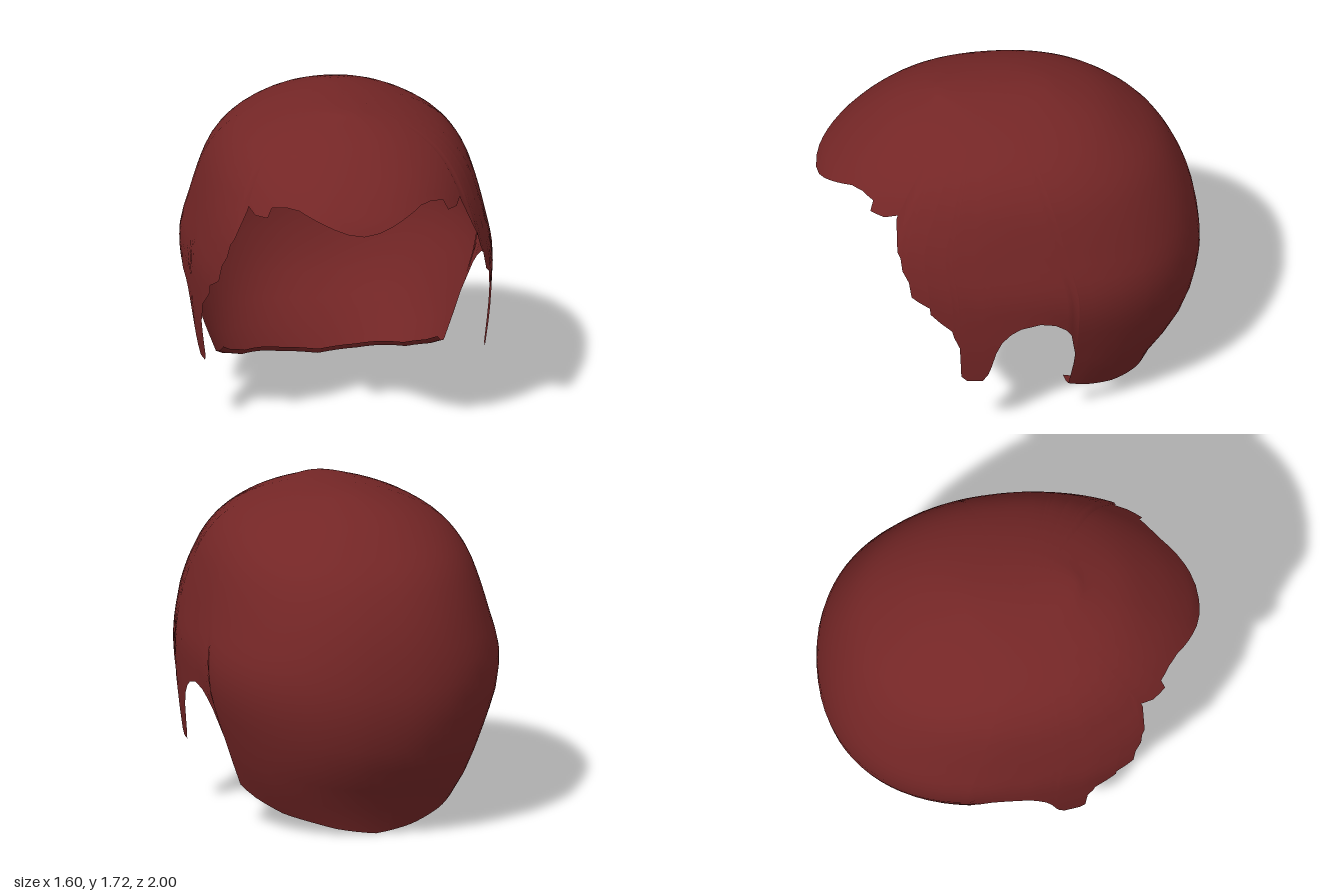
import * as THREE from 'three';

const TOP = 1.715;
// Horizontal sections: height, half width (front, back), front z, back z, centre z
const SECTIONS = [
  [1.715, 0, 0, 0.05, 0.05, 0.05],
  [1.71, 0.09, 0.09, 0.3, -0.15, 0.06],
  [1.68, 0.24, 0.24, 0.42, -0.3, 0.05],
  [1.6, 0.44, 0.44, 0.62, -0.51, 0.04],
  [1.52, 0.56, 0.56, 0.74, -0.63, 0.03],
  [1.38, 0.665, 0.665, 0.9, -0.79, 0.01],
  [1.26, 0.71, 0.71, 0.995, -0.87, -0.01],
  [1.07, 0.76, 0.76, 1.02, -0.95, -0.05],
  [0.88, 0.8, 0.8, 1.02, -0.99, -0.1],
  [0.7, 0.795, 0.785, 1.01, -1, -0.1],
  [0.6, 0.79, 0.755, 1, -0.985, -0.1],
  [0.43, 0.77, 0.695, 1, -0.94, -0.1],
  [0.3, 0.75, 0.65, 1, -0.87, -0.1],
  [0.17, 0.74, 0.595, 1, -0.78, -0.1],
  [0, 0.73, 0.47, 1, -0.71, -0.1],
];
const depth = (y) => Math.sqrt(Math.max(0, TOP - y));
const spline = new THREE.CubicInterpolant(
  SECTIONS.map((r) => depth(r[0])), SECTIONS.flatMap((r) => r.slice(1)), 5);

// Section values at height y; front and back halves are superellipses
function section(y, front) {
  const [af, ab, zf, zb, zc] = spline.evaluate(depth(y));
  const n = front ? THREE.MathUtils.mapLinear(THREE.MathUtils.clamp(y, 1.1, 1.3), 1.1, 1.3, 2.5, 2.2) : 2.2;
  return { a: front ? af : ab, b: front ? zf - zc : zc - zb, zc, n };
}

// Point on the hair surface at angle psi (0 front, PI back) and height y
function surface(psi, y) {
  const s = section(y, psi <= Math.PI / 2);
  const c = Math.cos(psi);
  return [
    s.a * Math.pow(Math.max(0, Math.sin(psi)), 2 / s.n), y,
    s.zc + Math.sign(c) * s.b * Math.pow(Math.abs(c), 2 / s.n),
  ];
}

// Fringe edge as [x, y]
const FRINGE = [[0, 1.245], [0.08, 1.257], [0.15, 1.28], [0.24, 1.315], [0.32, 1.35], [0.38, 1.355],
  [0.45, 1.34], [0.475, 1.29], [0.53, 1.285], [0.555, 1.31]];
// Temple, sideburn, ear notch and nape edge as [z, y]
const SIDE = [[0.645, 1.29], [0.635, 1.13], [0.62, 1.1], [0.63, 1.03], [0.58, 0.97], [0.575, 0.885],
  [0.53, 0.86], [0.475, 0.83], [0.485, 0.79], [0.42, 0.74], [0.36, 0.69], [0.35, 0.65], [0.32, 0.58],
  [0.325, 0.5], [0.31, 0.38], [0.28, 0.35], [0.2, 0.35], [0.17, 0.4], [0.155, 0.45], [0.13, 0.55],
  [0.1, 0.62], [0.05, 0.675], [0, 0.705], [-0.1, 0.73], [-0.18, 0.71], [-0.24, 0.665], [-0.265, 0.62],
  [-0.29, 0.45], [-0.28, 0.34], [-0.25, 0.2], [-0.36, 0.15], [-0.5, 0.09], [-0.62, 0.06],
  [-0.68, 0.03], [-0.71, 0]];

// Columns [psi, edge height] along one side, front to back
function hairline() {
  const raw = FRINGE.map(([x, y]) => {
    const s = section(y, true);
    return [Math.asin(Math.pow(x / s.a, s.n / 2)), y];
  });
  for (const [z, y] of SIDE) {
    const s = section(y, z >= -0.1);
    const w = THREE.MathUtils.clamp((z - s.zc) / s.b, -1, 1);
    raw.push([Math.acos(Math.sign(w) * Math.pow(Math.abs(w), s.n / 2)), y]);
  }
  raw[raw.length - 1][0] = Math.PI;
  const cols = [raw[0]];
  for (let [psi, y] of raw.slice(1)) {
    const [p0, y0] = cols[cols.length - 1];
    psi = Math.min(Math.PI, Math.max(psi, p0 + 0.004));
    const steps = Math.ceil((psi - p0) / 0.1);
    for (let k = 1; k <= steps; k++) {
      cols.push([p0 + (psi - p0) * k / steps, y0 + (y - y0) * k / steps]);
    }
  }
  return cols;
}

// Grid of points to an indexed smooth mesh, rows running downwards
function gridMesh(name, columns, closed, material) {
  const rows = columns[0].length;
  const index = [];
  const last = closed ? columns.length : columns.length - 1;
  for (let i = 0; i < last; i++) {
    const j = (i + 1) % columns.length;
    for (let r = 0; r < rows - 1; r++) {
      const a = i * rows + r, b = j * rows + r;
      index.push(a, a + 1, b + 1, a, b + 1, b);
    }
  }
  const geometry = new THREE.BufferGeometry();
  geometry.setAttribute('position', new THREE.Float32BufferAttribute(columns.flat(2), 3));
  geometry.setIndex(index);
  geometry.computeVertexNormals();
  const mesh = new THREE.Mesh(geometry, material);
  mesh.name = name;
  return mesh;
}

export function createModel() {
  const group = new THREE.Group();
  group.name = 'hair';
  const red = new THREE.MeshStandardMaterial({ color: 0x742626, side: THREE.DoubleSide });
  red.name = 'dark red hair';

  const half = hairline();
  const ROWS = 26;
  const mirror = ([x, y, z]) => [-x, y, z];

  // Hair shell from crown to hairline, left side then mirrored right side
  const left = half.map(([psi, edge]) => Array.from({ length: ROWS + 1 }, (_, r) => {
    const t = r / ROWS;
    return surface(psi, TOP - (TOP - edge) * t * t);
  }));
  const right = left.slice(1, -1).reverse().map((col) => col.map(mirror));
  group.add(gridMesh('hairShell', [...left, ...right], true, red));

  // Narrow lip turned inwards along the nape
  const nape = half.filter(([psi, y]) => psi > 1.7 && y < 0.21).map(([psi, y]) => {
    const [x, , z] = surface(psi, y);
    return [[x, y, z], [x * 0.97, y + 0.003, z + 0.012], [x * 0.94, y + 0.03, z + 0.025]];
  });
  const napeRight = nape.slice(0, -1).reverse().map((col) => col.map(mirror));
  group.add(gridMesh('napeLip', [...nape, ...napeRight], false, red));

  return group;
}
